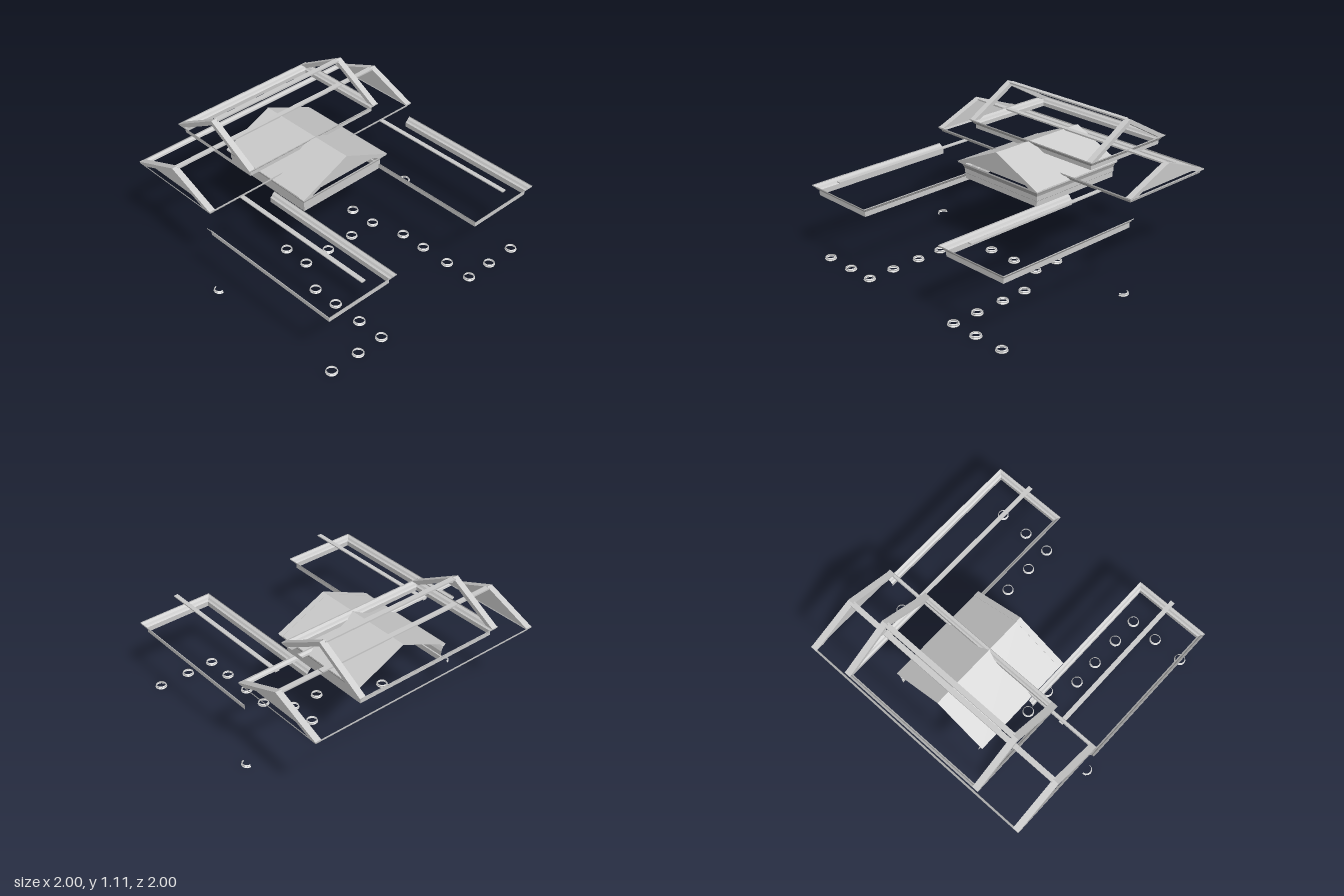
import * as THREE from 'three';

const mat = new THREE.MeshStandardMaterial({ color: 0xcccccc, side: THREE.DoubleSide, flatShading: true });

function add(parent, name, geometry, x = 0, y = 0, z = 0) {
  const m = new THREE.Mesh(geometry, mat);
  m.name = name;
  m.position.set(x, y, z);
  parent.add(m);
  return m;
}

// Sweeps a moulding profile of [outward offset, y] along an axis-aligned path of [x, z].
function moulding(path, profile, closed = false) {
  const n = path.length, segs = closed ? n : n - 1;
  const normal = i => {
    const a = path[(i + n) % n], b = path[(i + 1) % n];
    const dx = b[0] - a[0], dz = b[1] - a[1], l = Math.hypot(dx, dz);
    return [dz / l, -dx / l];
  };
  const point = (i, [off, y]) => {
    const k = i % n;
    const before = closed || k > 0 ? normal(k - 1) : [0, 0];
    const after = closed || k < n - 1 ? normal(k) : [0, 0];
    return [path[k][0] + off * (before[0] + after[0]), y, path[k][1] + off * (before[1] + after[1])];
  };
  const pos = [];
  for (let i = 0; i < segs; i++) {
    for (let j = 0; j < profile.length - 1; j++) {
      const a = point(i, profile[j]), b = point(i + 1, profile[j]);
      const c = point(i + 1, profile[j + 1]), d = point(i, profile[j + 1]);
      pos.push(...a, ...d, ...b, ...b, ...d, ...c);
    }
  }
  const g = new THREE.BufferGeometry();
  g.setAttribute('position', new THREE.Float32BufferAttribute(pos, 3));
  g.computeVertexNormals();
  return g;
}

// U-shaped path, open at the back.
const openRect = (x0, x1, back, front) => [[x1, back], [x1, front], [x0, front], [x0, back]];

// Pair of sloping rakes as one chevron, extruded along z and centred.
function rakes(half, base, apex, thick, depth) {
  const inner = half * (1 - thick / (apex - base));
  const s = new THREE.Shape([
    [-half, base], [-inner, base], [0, apex - thick], [inner, base], [half, base], [0, apex],
  ].map(p => new THREE.Vector2(...p)));
  return new THREE.ExtrudeGeometry(s, { depth, bevelEnabled: false }).translate(0, 0, -depth / 2);
}

function triangle(half, base, apex) {
  return new THREE.ShapeGeometry(new THREE.Shape([
    new THREE.Vector2(-half, base), new THREE.Vector2(half, base), new THREE.Vector2(0, apex)]));
}

// Column base rings
function columnBases(root) {
  const g = new THREE.Group();
  g.name = 'columnBases';
  const profile = [[0.041, 0], [0.045, 0.006], [0.039, 0.012], [0.042, 0.018], [0.036, 0.025]]
    .map(p => new THREE.Vector2(...p));
  const ring = new THREE.LatheGeometry(profile, 12);
  const halfRing = new THREE.LatheGeometry(profile, 6, 0, Math.PI);
  for (const s of [1, -1]) {
    for (const [x, z] of [[0.45, 0.27], [0.45, 0.48], [0.45, 0.72], [0.45, 0.935], [0.67, 0.935], [0.915, 0.935]])
      add(g, 'wingColumnBase', ring, s * x, 0, z);
    for (const [x, z] of [[0.34, 0.05], [0.12, 0.05], [0.34, -0.165]])
      add(g, 'porticoColumnBase', ring, s * x, 0.043, z);
    const h = add(g, 'wallColumnBase', halfRing, s * 0.95, 0, -0.2);
    if (s < 0) h.rotation.y = Math.PI;
  }
  root.add(g);
}

// Side wings: open cornice and a thin ridge strip
function wings(root) {
  const profile = [[0, 0.51], [0, 0.548], [0.012, 0.556], [0.02, 0.57], [0.036, 0.582], [0.036, 0.59]];
  for (const s of [1, -1]) {
    const g = new THREE.Group();
    g.name = s > 0 ? 'leftWing' : 'rightWing';
    const [x0, x1] = s > 0 ? [0.426, 0.962] : [-0.962, -0.426];
    add(g, 'wingCornice', moulding(openRect(x0, x1, -0.225, 0.964), profile));
    add(g, 'wingRidge', new THREE.BoxGeometry(0.034, 0.008, 1.22), s * 0.685, 0.7, 0.38);
    root.add(g);
  }
}

// Central portico: entablature, pediment and long gabled roof
function portico(root) {
  const g = new THREE.Group();
  g.name = 'portico';
  const profile = [[0, 0.565], [0, 0.605], [0.006, 0.61], [0.006, 0.645], [0.014, 0.665],
    [0.022, 0.682], [0.04, 0.69], [0.04, 0.702]];
  add(g, 'porticoEntablature', moulding(openRect(-0.367, 0.367, -0.725, 0.072), profile));
  add(g, 'pedimentPanel', triangle(0.38, 0.695, 0.865), 0, 0, 0.075);
  add(g, 'pedimentRakes', rakes(0.41, 0.7, 0.882, 0.034, 0.045), 0, 0, 0.092);
  add(g, 'porticoRoof', rakes(0.408, 0.698, 0.88, 0.004, 0.82), 0, 0, -0.32);
  root.add(g);
}

// Gabled roof outline: cornice ring, end rakes and ridge, over z -1 to -0.2
function roofFrame(root, name, o) {
  const g = new THREE.Group();
  g.name = name;
  const x = o.half - o.inset, zf = -0.2 - o.inset, zb = -1 + o.inset;
  add(g, 'roofCornice', moulding([[x, zb], [x, zf], [-x, zf], [-x, zb]], o.profile, true));
  for (const s of [1, -1]) {
    const r = add(g, 'gableRakes', rakes(0.4, o.base, o.apex, o.thick, 0.048), s * (o.half - 0.026), 0, -0.6);
    r.rotation.y = Math.PI / 2;
    if (o.panel) {
      const p = add(g, 'gablePanel', triangle(0.385, o.base - 0.005, o.apex - 0.015), s * (o.half - 0.04), 0, -0.6);
      p.rotation.y = s * Math.PI / 2;
    }
  }
  add(g, 'roofRidge', new THREE.BoxGeometry(2 * o.half - 0.08, 0.012, 0.04), 0, o.apex - 0.01, -0.6);
  root.add(g);
}

export function createModel() {
  const root = new THREE.Group();
  root.name = 'templeTrim';
  columnBases(root);
  wings(root);
  portico(root);
  roofFrame(root, 'lowerRoof', {
    half: 0.985, inset: 0.02, base: 0.73, apex: 0.888, thick: 0.03, panel: true,
    profile: [[0, 0.698], [0.004, 0.712], [0.02, 0.724], [0.02, 0.735]],
  });
  roofFrame(root, 'upperRoof', {
    half: 0.622, inset: 0.034, base: 0.888, apex: 1.112, thick: 0.036, panel: false,
    profile: [[0, 0.82], [0, 0.85], [0.01, 0.858], [0.018, 0.872], [0.034, 0.884], [0.034, 0.893]],
  });
  return root;
}
